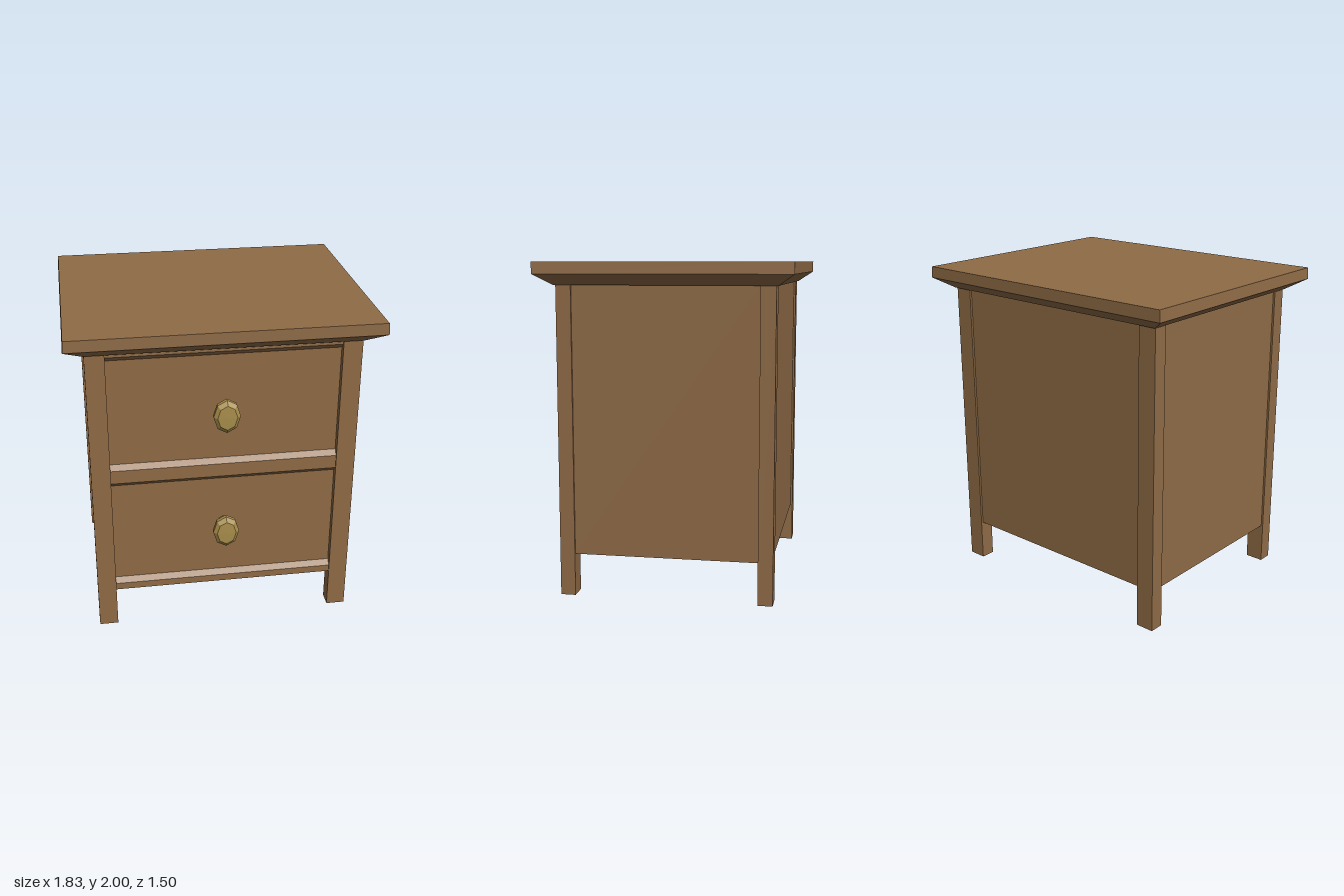
import * as THREE from 'three';

const wood = new THREE.MeshStandardMaterial({ color: 0x8f6b46 });
wood.name = 'brownWood';
const brass = new THREE.MeshStandardMaterial({ color: 0xa88d4b, flatShading: true });
brass.name = 'agedBrass';

function add(parent, name, geometry, material, x = 0, y = 0, z = 0) {
  const mesh = new THREE.Mesh(geometry, material);
  mesh.name = name;
  mesh.position.set(x, y, z);
  parent.add(mesh);
  return mesh;
}

// Box whose lower rectangle is scaled to a different size than the upper one
function taperedBox(w, h, d, bottomW, bottomD) {
  const g = new THREE.BoxGeometry(w, h, d);
  const p = g.attributes.position;
  for (let i = 0; i < p.count; i++) {
    if (p.getY(i) < 0) {
      p.setX(i, p.getX(i) * bottomW / w);
      p.setZ(i, p.getZ(i) * bottomD / d);
    }
  }
  g.computeVertexNormals();
  return g;
}

export function createModel() {
  const model = new THREE.Group();
  model.name = 'nightstand';

  // Table top with a sloping moulding beneath
  add(model, 'tableTop', taperedBox(1.82, 0.07, 1.5, 1.83, 1.5), wood, 0, 1.965, 0);
  add(model, 'topMoulding', taperedBox(1.83, 0.065, 1.5, 1.61, 1.31), wood, 0, 1.8975, 0);

  // Four square legs
  for (const x of [-1, 1]) {
    for (const z of [-1, 1]) {
      add(model, 'leg', new THREE.BoxGeometry(0.115, 1.87, 0.09), wood, x * 0.7425, 0.935, z * 0.598);
    }
  }

  // Side panels, set just inside the leg faces
  for (const x of [-1, 1]) {
    add(model, 'sidePanel', new THREE.BoxGeometry(0.1, 1.615, 1.11), wood, x * 0.738, 1.0625, 0);
  }

  // Cabinet body: side profile with two recessed drawer fronts, run across the width
  const front = 0.635, recess = 0.605, back = -0.63;
  const profile = new THREE.Shape([
    [back, 0.255], [front, 0.255],
    [front, 0.3], [recess, 0.33], [recess, 0.995], [front, 1.025],
    [front, 1.11], [recess, 1.14], [recess, 1.81], [front, 1.84],
    [front, 1.87], [back, 1.87],
  ].map(([z, y]) => new THREE.Vector2(-z, y)));
  const body = new THREE.ExtrudeGeometry(profile, { depth: 1.38, bevelEnabled: false });
  body.translate(0, 0, -0.69);
  body.rotateY(Math.PI / 2);
  add(model, 'cabinetBodyWithDrawers', body, wood);

  // Faceted oval knobs, one per drawer
  const knobProfile = [
    [0, 0], [0.052, 0], [0.052, 0.03], [0.042, 0.045], [0.075, 0.058],
    [0.105, 0.083], [0.105, 0.108], [0.077, 0.128], [0, 0.13],
  ].map(([r, h]) => new THREE.Vector2(r, h));
  const knob = new THREE.LatheGeometry(knobProfile, 8);
  knob.rotateX(Math.PI / 2);
  knob.scale(0.76, 1, 1);
  for (const y of [0.672, 1.46]) add(model, 'drawerKnob', knob, brass, 0, y, 0.6);

  return model;
}
